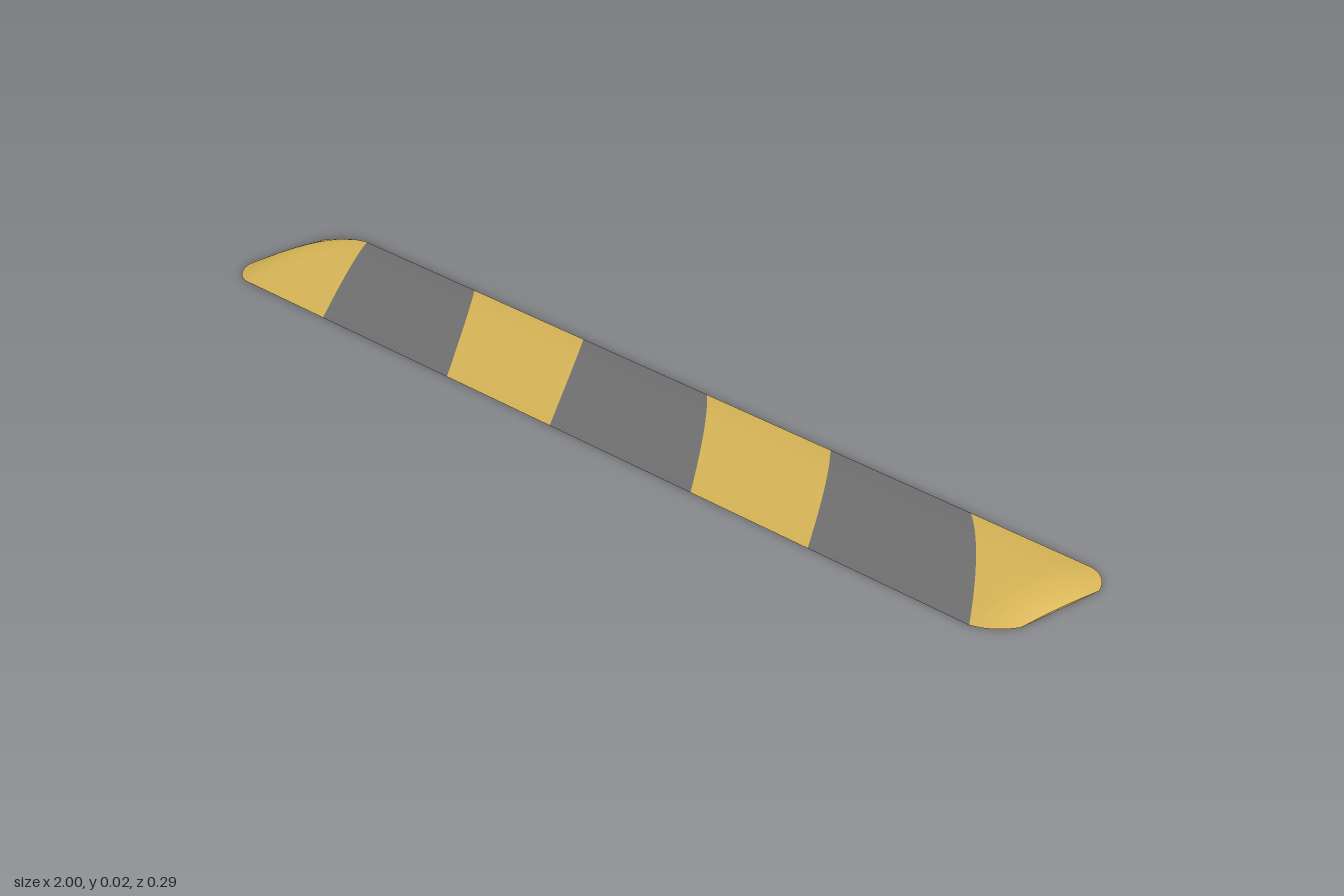
import * as THREE from 'three';

const HALF_WIDTH = 0.146;
const ACROSS = 24;

// Distance from the end of the bump -> [half width, crown height]
const END_PROFILE = [
  [0, 0.092, 0.003], [0.006, 0.103, 0.007], [0.014, 0.115, 0.011], [0.025, 0.127, 0.0155],
  [0.04, 0.138, 0.0195], [0.06, HALF_WIDTH, 0.0225], [0.09, HALF_WIDTH, 0.024],
];

function section(x) {
  const d = Math.max(0, 1 - Math.abs(x));
  for (let i = 1; i < END_PROFILE.length; i++) {
    const [d0, w0, h0] = END_PROFILE[i - 1];
    const [d1, w1, h1] = END_PROFILE[i];
    if (d <= d1) {
      const t = (d - d0) / (d1 - d0);
      return [THREE.MathUtils.lerp(w0, w1, t), THREE.MathUtils.lerp(h0, h1, t)];
    }
  }
  return [HALF_WIDTH, 0.024];
}

// Slanted, slightly bowed colour boundary from the back edge to the front edge
const boundary = (back, front) => (v) =>
  THREE.MathUtils.lerp(back, front, (v + 1) / 2) + 0.012 * (1 - v * v);

// One stripe: arched top, flat underside and, on the end stripes, a thin end lip
function stripeGeometry(from, to, startCap, endCap) {
  const steps = startCap || endCap ? 32 : 8;
  const positions = [], indices = [];
  const row = ACROSS + 1;

  const addGrid = (rows, point) => {
    const base = positions.length / 3;
    for (let i = 0; i <= rows; i++) {
      for (let j = 0; j <= ACROSS; j++) positions.push(...point(i, (j / ACROSS) * 2 - 1));
    }
    return base;
  };
  const addFaces = (base, rows, flip) => {
    for (let i = 0; i < rows; i++) {
      for (let j = 0; j < ACROSS; j++) {
        const a = base + i * row + j, b = a + 1, c = a + row, d = c + 1;
        if (flip) indices.push(a, c, b, b, c, d);
        else indices.push(a, b, c, b, d, c);
      }
    }
  };
  const surface = (i, v, top) => {
    // Rows crowd towards the rounded end
    let t = i / steps;
    if (startCap) t = t * t;
    if (endCap) t = 1 - (1 - t) * (1 - t);
    const x = THREE.MathUtils.lerp(from(v), to(v), t);
    const [w, h] = section(x);
    return [x, top ? h * (1 - v * v) : 0, v * w];
  };

  addFaces(addGrid(steps, (i, v) => surface(i, v, true)), steps, false);
  addFaces(addGrid(steps, (i, v) => surface(i, v, false)), steps, true);
  if (startCap || endCap) {
    const edge = startCap ? 0 : steps;
    addFaces(addGrid(1, (i, v) => surface(edge, v, i === 0)), 1, startCap);
  }

  const geometry = new THREE.BufferGeometry();
  geometry.setAttribute('position', new THREE.Float32BufferAttribute(positions, 3));
  geometry.setIndex(indices);
  geometry.computeVertexNormals();
  return geometry;
}

export function createModel() {
  const group = new THREE.Group();
  group.name = 'speedBump';

  const yellow = new THREE.MeshStandardMaterial({ color: 0xd6b456 });
  yellow.name = 'safety yellow';
  const grey = new THREE.MeshStandardMaterial({ color: 0x707070 });
  grey.name = 'rubber grey';

  // Boundaries between the alternating stripes, end to end
  const edges = [
    () => -1,
    boundary(-0.935, -0.7), boundary(-0.61, -0.34), boundary(-0.3, -0.06),
    boundary(0.03, 0.3), boundary(0.34, 0.58), boundary(0.67, 0.94),
    () => 1,
  ];
  const last = edges.length - 2;
  for (let i = 0; i <= last; i++) {
    const geometry = stripeGeometry(edges[i], edges[i + 1], i === 0, i === last);
    const mesh = new THREE.Mesh(geometry, i % 2 ? grey : yellow);
    mesh.name = i === 0 ? 'rightEnd' : i === last ? 'leftEnd' : `stripe${i}`;
    group.add(mesh);
  }
  return group;
}
